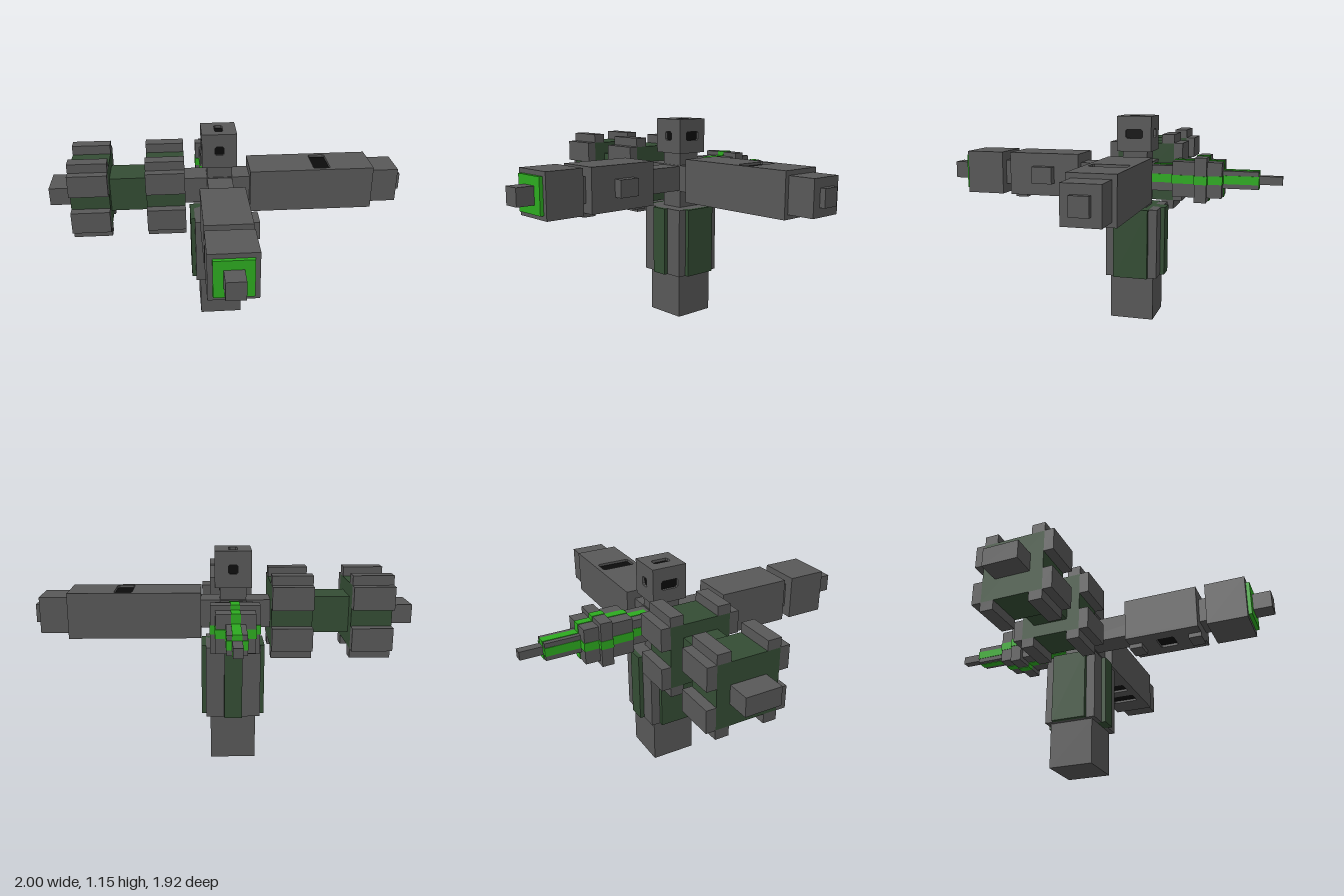
import * as THREE from 'three';

const mat = (name, color) => Object.assign(new THREE.MeshStandardMaterial({ color }), { name });

export function createModel() {
  const hull = mat('hull grey', 0x585858);
  const darkGreen = mat('dark green', 0x344d34);
  const brightGreen = mat('bright green', 0x2dab20);
  const black = mat('slot black', 0x0b0b0b);

  const root = new THREE.Group();
  root.name = 'station';
  const hub = new THREE.Group();
  hub.name = 'modules';
  hub.position.set(-0.05, 0.81, -0.162);
  root.add(hub);

  // box given by its extents on each axis
  const box = (name, m, [x0, x1], [y0, y1], [z0, z1]) => {
    const mesh = new THREE.Mesh(new THREE.BoxGeometry(x1 - x0, y1 - y0, z1 - z0), m);
    mesh.position.set((x0 + x1) / 2, (y0 + y1) / 2, (z0 + z1) / 2);
    mesh.name = name;
    hub.add(mesh);
  };
  const sym = (h) => [-h, h];

  // plate with recessed dark slots; its outer face lies at the given position
  const DEPTH = 0.02;
  const slotPlate = (name, w, h, holes, rot, pos) => {
    const shape = new THREE.Shape([[-1, -1], [1, -1], [1, 1], [-1, 1]]
      .map(([a, b]) => new THREE.Vector2(a * w / 2, b * h / 2)));
    const group = new THREE.Group();
    group.name = name;
    for (const [cx, cy, hw, hh] of holes) {
      const a = hw / 2, b = hh / 2, c = 0.008;
      shape.holes.push(new THREE.Path([[-a + c, -b], [-a, -b + c], [-a, b - c], [-a + c, b],
        [a - c, b], [a, b - c], [a, -b + c], [a - c, -b]]
        .map(([x, y]) => new THREE.Vector2(cx + x, cy + y))));
      const floor = new THREE.Mesh(new THREE.BoxGeometry(hw, hh, 0.006), black);
      floor.position.set(cx, cy, -DEPTH + 0.003);
      floor.name = 'slotFloor';
      group.add(floor);
    }
    const geo = new THREE.ExtrudeGeometry(shape, { depth: DEPTH, bevelEnabled: false });
    geo.translate(0, 0, -DEPTH);
    const plate = new THREE.Mesh(geo, hull);
    plate.name = 'slottedPlate';
    group.add(plate);
    group.rotation.set(...rot);
    group.position.set(...pos);
    hub.add(group);
  };
  const Q = Math.PI / 2;

  // connecting necks
  box('crossNeck', hull, [-0.2, 0.175], sym(0.075), sym(0.075));
  box('verticalNeck', hull, sym(0.07), [-0.175, 0.15], sym(0.07));
  box('lengthNeck', hull, sym(0.07), sym(0.07), [-0.22, 0.785]);

  // top module with a slot on each open face
  box('headCore', hull, sym(0.077), [0.145, 0.318], sym(0.077));
  const hy = 0.241, H = 0.097;
  slotPlate('headTop', 2 * H, 2 * H, [[0, 0, 0.046, 0.096]], [-Q, 0, 0], [0, 0.338, 0]);
  for (const s of [-1, 1]) {
    slotPlate('headFace', 2 * H, 2 * H, [[0, 0, 0.05, 0.05]], [0, s > 0 ? 0 : Math.PI, 0], [0, hy, s * H]);
    slotPlate('headSide', 2 * H, 2 * H, [[0, 0, 0.095, 0.05]], [0, s * Q, 0], [s * H, hy, 0]);
  }
  box('headUnderside', hull, sym(H - 0.001), [0.144, 0.15], sym(H - 0.001));

  // lower column with green panels, and its base
  box('column', hull, sym(0.146), [-0.56, -0.17], sym(0.146));
  box('columnPanelsFrontBack', darkGreen, sym(0.048), [-0.56, -0.17], sym(0.17));
  box('columnPanelsSides', darkGreen, sym(0.17), [-0.56, -0.17], sym(0.097));
  box('base', hull, sym(0.122), [-0.81, -0.56], sym(0.122));

  // left long arm with slots above and below
  const A = 0.122;
  box('longArm', hull, [0.17, 0.87], sym(A - DEPTH), sym(A));
  slotPlate('longArmTop', 0.7, 2 * A, [[0.06, 0, 0.095, 0.194]], [-Q, 0, 0], [0.52, A, 0]);
  slotPlate('longArmBottom', 0.7, 2 * A, [[-0.02, 0, 0.09, 0.16], [0.15, 0, 0.09, 0.16]], [Q, 0, 0], [0.52, -A, 0]);
  box('longArmCap', hull, [0.87, 1.02], sym(0.097), sym(0.097));
  box('longArmHatch', hull, [1.02, 1.05], sym(0.048), sym(0.048));

  // right arm: two green drums clad with grey bars
  box('drumLink', darkGreen, [-0.62, -0.4], sym(0.097), sym(0.097));
  box('drumEnd', hull, [-0.95, -0.827], sym(0.05), sym(0.097));
  for (const x of [[-0.411, -0.197], [-0.827, -0.613]]) {
    box('drum', darkGreen, x, sym(0.168), sym(0.168));
    for (const a of [-1, 1]) for (const b of [-1, 1]) {
      const span = (s, lo, hi) => (s > 0 ? [lo, hi] : [-hi, -lo]);
      box('drumBarUpDown', hull, x, span(a, 0.168, 0.22), span(b, 0.097, 0.17));
      box('drumBarFrontBack', hull, x, span(a, 0.048, 0.17), span(b, 0.168, 0.22));
    }
  }

  // front arm
  box('frontModule', hull, sym(A), [-A + DEPTH, A], [0.317, 0.732]);
  slotPlate('frontModuleBottom', 2 * A, 0.415, [[0, 0, 0.1, 0.1]], [Q, 0, 0], [0, -A, 0.5245]);
  box('frontSideHatch', hull, [A, 0.17], sym(0.048), [0.462, 0.582]);
  for (const z of [[0.317, 0.39], [0.66, 0.732]]) box('frontFoot', hull, sym(0.05), [-0.147, -A], z);
  box('frontCap', hull, sym(A), sym(A), [0.782, 1.002]);
  box('frontRing', brightGreen, sym(0.097), sym(0.097), [1.002, 1.022]);
  box('frontPort', hull, sym(0.048), sym(0.048), [1.022, 1.122]);

  // rear arm, stepped, with a bright stripe running over all four sides
  const steps = [[0.07, -0.22, -0.1], [0.097, -0.488, -0.218], [0.122, -0.408, -0.343], [0.048, -0.678, -0.488]];
  const S = 0.023, lift = 0.003;
  for (const [h, z0, z1] of steps) {
    box('rearStep', hull, sym(h), sym(h), [z0, z1]);
    const z = [z0 - lift, z1 + lift];
    box('rearStripeUpDown', brightGreen, sym(S), sym(h + lift), z);
    box('rearStripeSides', brightGreen, sym(h + lift), sym(S), z);
  }
  box('rearTip', hull, sym(S), sym(S), [-0.803, -0.678]);

  return root;
}
